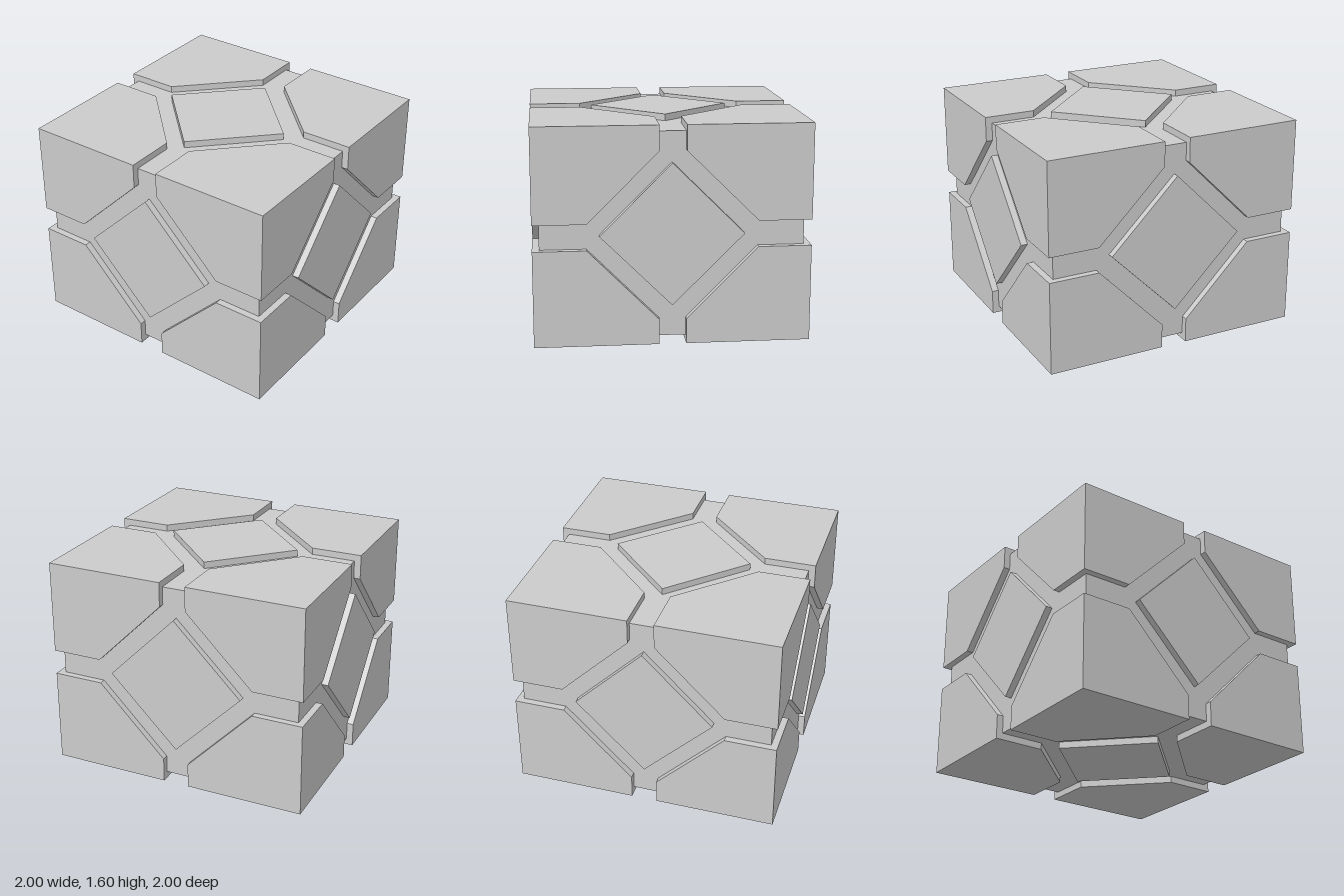
import * as THREE from 'three';

const HALF = [1, 0.8, 1];   // half extents of the block
const DEPTH = 0.05;         // groove depth
const CHAMFER = 0.615;      // where the diagonal groove meets the straight one
const CENTRE_Y = HALF[1];

const material = new THREE.MeshStandardMaterial({ color: 0xcccccc, flatShading: true });

// Corner shell: three pentagon faces that meet at the corner, with walls down into the grooves.
function cornerGeometry(signs) {
  const gap = [0.097, signs[1] < 0 ? 0.09 : 0.1, 0.1];
  const positions = [];
  const flip = signs[0] * signs[1] * signs[2] < 0;
  const polygon = (points) => {
    const ring = flip ? [...points].reverse() : points;
    for (let i = 1; i < ring.length - 1; i++) positions.push(...ring[0], ...ring[i], ...ring[i + 1]);
  };
  for (let a = 0; a < 3; a++) {
    const u = (a + 1) % 3, v = (a + 2) % 3;
    const point = (pu, pv, pa) => {
      const p = [0, 0, 0];
      p[u] = pu * signs[u];
      p[v] = pv * signs[v];
      p[a] = pa * signs[a];
      return p;
    };
    const top = HALF[a], base = HALF[a] - DEPTH;
    const rim = [
      [gap[u], HALF[v]], [gap[u], CHAMFER], [CHAMFER, gap[v]], [HALF[u], gap[v]],
    ];
    // wall ends are mitred so that neighbouring faces share an edge
    const foot = [
      [gap[u], HALF[v] - DEPTH], rim[1], rim[2], [HALF[u] - DEPTH, gap[v]],
    ];
    const outer = rim.map(([x, y]) => point(x, y, top));
    const inner = foot.map(([x, y]) => point(x, y, base));
    polygon([point(HALF[u], HALF[v], top), ...outer]);
    for (let i = 0; i < 3; i++) polygon([outer[i], inner[i], inner[i + 1], outer[i + 1]]);
  }
  const geometry = new THREE.BufferGeometry();
  geometry.setAttribute('position', new THREE.Float32BufferAttribute(positions, 3));
  geometry.computeVertexNormals();
  return geometry;
}

export function createModel() {
  const model = new THREE.Group();
  model.name = 'groovedBlock';
  const add = (name, geometry) => {
    const mesh = new THREE.Mesh(geometry, material);
    mesh.name = name;
    mesh.position.y = CENTRE_Y;
    model.add(mesh);
    return mesh;
  };

  // Inner block forming the groove floors
  add('core', new THREE.BoxGeometry(...HALF.map((h) => 2 * (h - DEPTH))));

  // Eight corner blocks
  for (const x of [-1, 1]) for (const y of [-1, 1]) for (const z of [-1, 1]) {
    const name = (y > 0 ? 'upper' : 'lower') + (z > 0 ? 'Front' : 'Back') + (x > 0 ? 'Left' : 'Right') + 'Corner';
    add(name, cornerGeometry([x, y, z]));
  }

  // Raised diamond panel in the middle of each face
  const thickness = DEPTH + 0.01;
  const diamond = new THREE.CylinderGeometry(0.52, 0.52, thickness, 4);
  const panels = [
    ['front', [0, 0, 1], [-0.005, 0.01, 0]],
    ['back', [0, 0, -1], [-0.005, 0.01, 0]],
    ['left', [1, 0, 0], [0, 0.01, -0.005]],
    ['right', [-1, 0, 0], [0, 0.01, -0.005]],
    ['top', [0, 1, 0], [-0.01, 0, -0.01]],
    ['bottom', [0, -1, 0], [0, 0, 0]],
  ];
  const up = new THREE.Vector3(0, 1, 0);
  for (const [side, normal, shift] of panels) {
    const panel = add(side + 'Panel', diamond);
    panel.quaternion.setFromUnitVectors(up, new THREE.Vector3(...normal));
    panel.position.set(...normal.map((n, i) => n * (HALF[i] - thickness / 2) + shift[i]));
    panel.position.y += CENTRE_Y;
  }
  return model;
}
